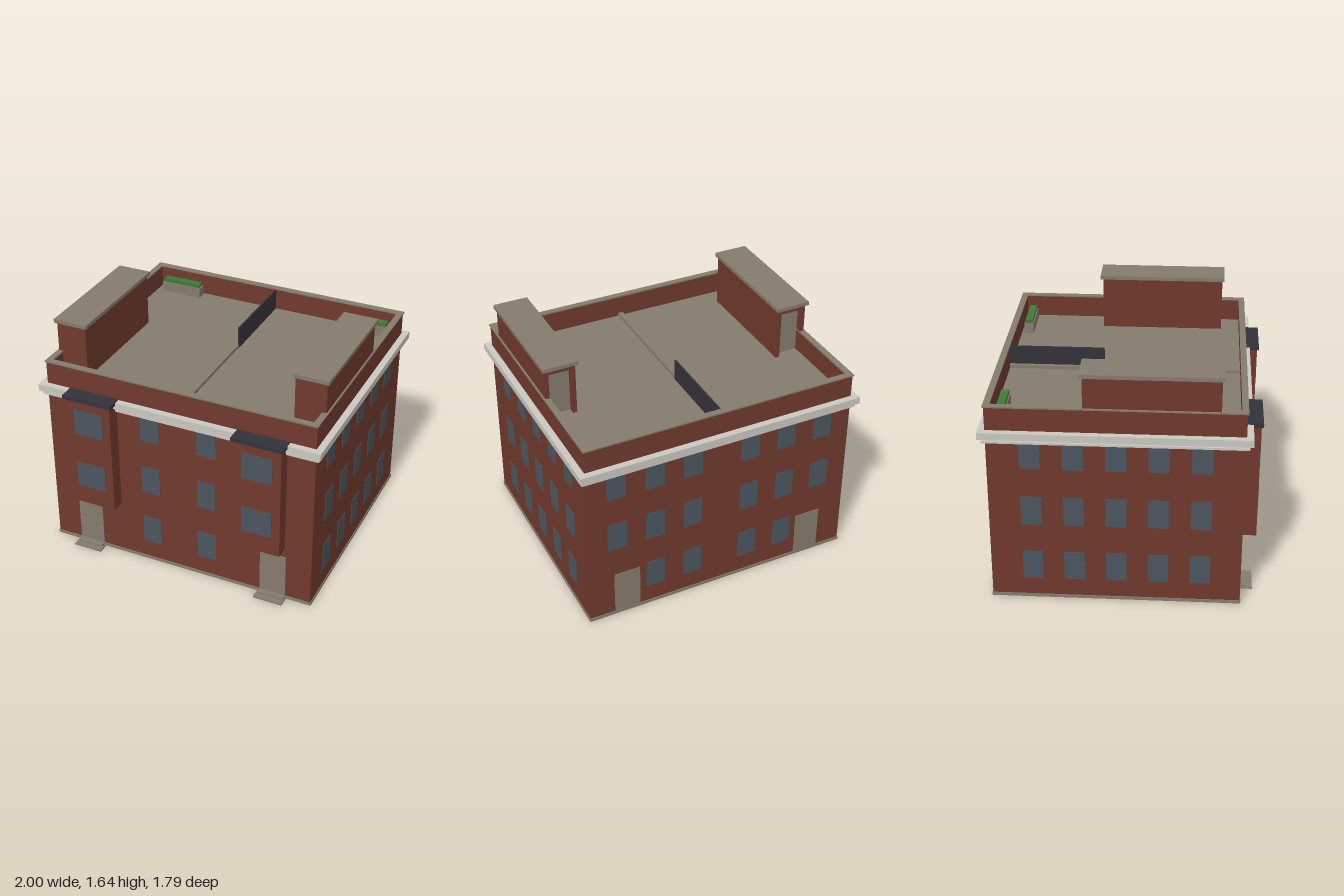
import * as THREE from 'three';

const mat = (name, color) => {
  const m = new THREE.MeshStandardMaterial({ color });
  m.name = name;
  return m;
};

export function createModel() {
  const brick = mat('brick', 0x70392c);
  const stone = mat('stone', 0x857b6e);
  const trim = mat('pale trim', 0xcac8c0);
  const glass = mat('window glass', 0x4b555f);
  const dark = mat('dark metal', 0x32323a);
  const green = mat('foliage', 0x3f7a36);

  const model = new THREE.Group();
  model.name = 'townhouses';

  // Box given by its min and max on each axis
  const box = (name, m, x0, x1, y0, y1, z0, z1, parent = model) => {
    const mesh = new THREE.Mesh(new THREE.BoxGeometry(x1 - x0, y1 - y0, z1 - z0), m);
    mesh.position.set((x0 + x1) / 2, (y0 + y1) / 2, (z0 + z1) / 2);
    mesh.name = name;
    parent.add(mesh);
    return mesh;
  };

  // Same box mirrored across x by side s
  const sideBox = (s, name, m, x0, x1, ...rest) =>
    s > 0 ? box(name, m, x0, x1, ...rest) : box(name, m, -x1, -x0, ...rest);

  // Rectangular frame running round the building
  const rect = (Type, x, zb, zf) => {
    const p = new Type();
    p.moveTo(-x, -zf);
    p.lineTo(x, -zf);
    p.lineTo(x, -zb);
    p.lineTo(-x, -zb);
    p.closePath();
    return p;
  };
  const ring = (name, m, outer, inner, y0, y1) => {
    const shape = rect(THREE.Shape, ...outer);
    shape.holes.push(rect(THREE.Path, ...inner));
    const g = new THREE.ExtrudeGeometry(shape, { depth: y1 - y0, bevelEnabled: false });
    g.rotateX(-Math.PI / 2);
    const mesh = new THREE.Mesh(g, m);
    mesh.position.y = y0;
    mesh.name = name;
    model.add(mesh);
  };

  const W = 0.955, F = 0.785, B = -0.85, DECK = 1.24, T = 0.004;
  const wall = [W, B, F], inside = [0.925, -0.82, 0.755];

  // Main block, roof deck, parapet and trim bands
  box('plinth', stone, -0.96, 0.96, 0, 0.022, -0.856, 0.79);
  box('mainWalls', brick, -W, W, 0.022, DECK - 0.008, B, F);
  box('roofDeck', stone, -0.925, 0.925, DECK - 0.008, DECK, -0.82, 0.755);
  ring('parapet', brick, wall, inside, DECK - 0.008, 1.392);
  ring('coping', stone, [0.962, -0.858, 0.792], [0.92, -0.815, 0.75], 1.392, 1.402);
  ring('cornice', trim, [1.0, -0.895, 0.83], wall, 1.187, 1.235);
  ring('lowerBand', trim, [0.982, -0.872, 0.808], wall, 1.155, 1.17);

  // Window rows
  const rows = [[0.148, 0.355], [0.557, 0.764], [0.966, 1.172]];
  rows.forEach(([y0, y1], row) => {
    for (const s of [1, -1]) {
      sideBox(s, 'frontWindow', glass, 0.137, 0.272, y0, y1, F, F + T);
      for (const x of [0.208, 0.478, 0.748]) {
        if (row === 0 && x > 0.7) continue;
        sideBox(s, 'backWindow', glass, x - 0.067, x + 0.067, y0, y1, B - T, B);
      }
      for (let i = 0; i < 5; i++) {
        const z = 0.517 - i * 0.273;
        sideBox(s, 'sideWindow', glass, W, W + T, y0, y1, z - 0.067, z + 0.067);
      }
    }
  });

  for (const s of [1, -1]) {
    // Entrance doors and steps
    sideBox(s, 'frontDoor', stone, 0.592, 0.776, 0.022, 0.34, F, F + T);
    sideBox(s, 'backDoor', stone, 0.592, 0.776, 0.022, 0.34, B - T, B);
    sideBox(s, 'upperStep', stone, 0.592, 0.776, 0.01, 0.022, F, 0.828);
    sideBox(s, 'lowerStep', stone, 0.58, 0.785, 0, 0.01, F, 0.87);

    // Bay with two windows and a dark cap
    sideBox(s, 'bay', brick, 0.44, 0.765, 0.41, 1.215, F, 0.882);
    sideBox(s, 'bayCap', dark, 0.424, 0.781, 1.215, 1.24, F, 0.895);
    for (const y of [0.545, 0.955])
      sideBox(s, 'bayWindow', glass, 0.497, 0.707, y, y + 0.19, 0.882, 0.882 + T);

    // Stair penthouse with a recessed door at the back
    sideBox(s, 'penthouse', brick, 0.74, 0.951, DECK, 1.61, -0.185, 0.625);
    sideBox(s, 'penthouseInnerPost', brick, 0.74, 0.768, DECK, 1.61, -0.235, -0.185);
    sideBox(s, 'penthouseOuterPost', brick, 0.923, 0.951, DECK, 1.61, -0.235, -0.185);
    sideBox(s, 'penthouseLintel', brick, 0.768, 0.923, 1.575, 1.61, -0.235, -0.185);
    sideBox(s, 'penthouseDoor', stone, 0.768, 0.923, DECK, 1.575, -0.189, -0.185);
    sideBox(s, 'penthouseRoof', stone, 0.725, 0.966, 1.61, 1.636, -0.255, 0.64);

    // Roof planter
    sideBox(s, 'planter', stone, 0.575, 0.878, DECK, 1.315, -0.8, -0.735);
    sideBox(s, 'planterHedge', green, 0.583, 0.87, 1.315, 1.34, -0.793, -0.742);
  }

  // Divider between the two roof terraces
  box('roofCurb', stone, -0.036, 0, DECK, 1.262, -0.82, 0.755);
  box('privacyScreen', dark, -0.006, 0.004, DECK, 1.392, -0.82, -0.17);

  return model;
}
